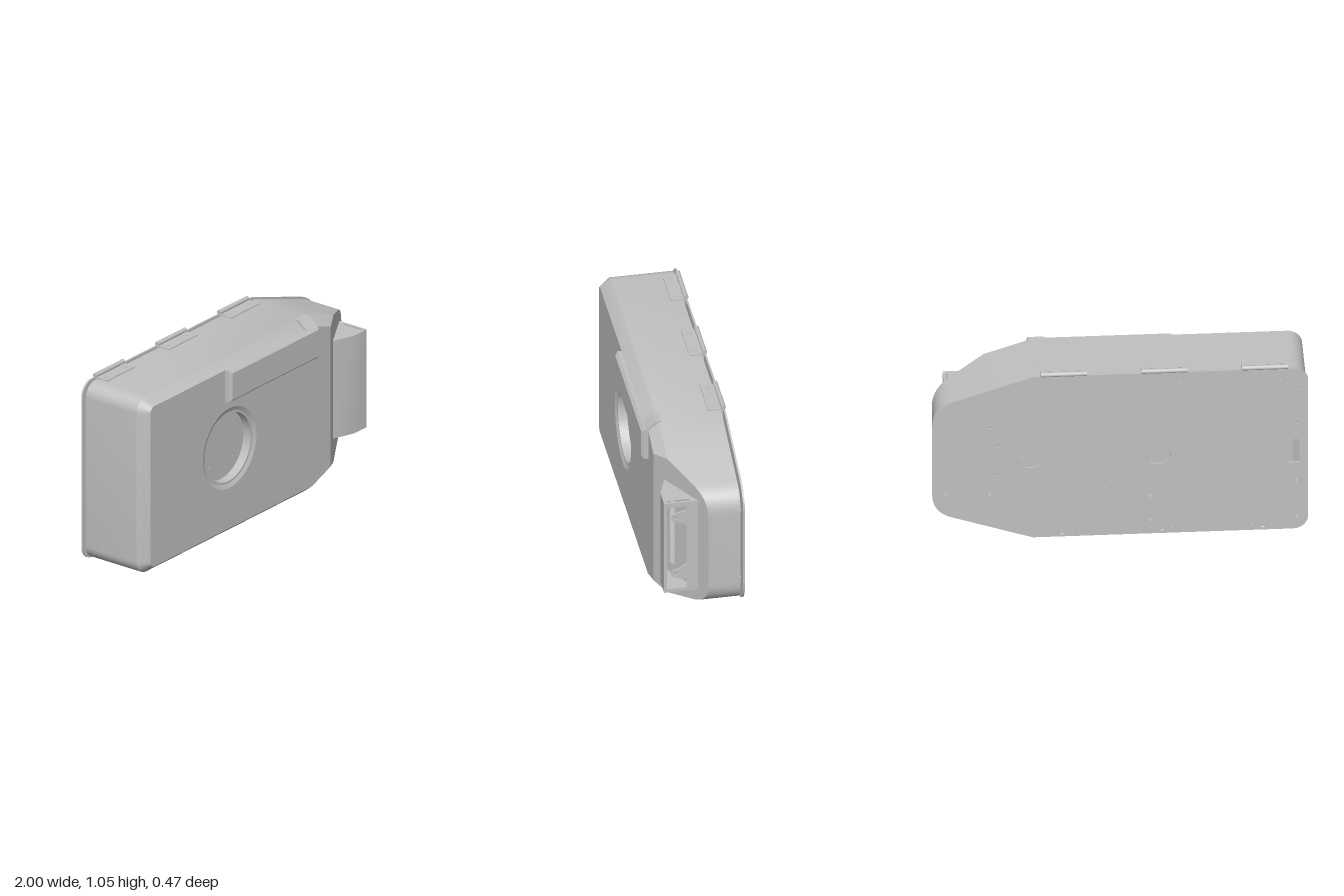
import * as THREE from 'three';
import { toCreasedNormals } from 'three/addons/utils/BufferGeometryUtils.js';

const CY = 0.52, BACK = -0.2, EDGE = 0.1437, FRONT = 0.2;
const slant = (x) => FRONT - 0.593 * (x - 0.61); // sloping nose plane
const V2 = (x, y) => new THREE.Vector2(x, y);
const mirrored = (half) => [...half, ...half.slice().reverse().map((p) => V2(p.x, -p.y))];
const lift = (pts) => pts.map((p) => V2(p.x, p.y + CY));
const rect = (x0, y0, x1, y1) => [V2(x0, y0), V2(x1, y0), V2(x1, y1), V2(x0, y1)];
const circle = (x, y, r) => new THREE.Path().absarc(x, y, r, 0, Math.PI * 2);

// Quad strip between two rows of 3D points
function strip(a, b, closed) {
  const pos = [];
  const n = closed ? a.length : a.length - 1;
  for (let i = 0; i < n; i++) {
    const j = (i + 1) % a.length;
    for (const p of [a[i], a[j], b[j], a[i], b[j], b[i]]) pos.push(...p);
  }
  const g = new THREE.BufferGeometry();
  g.setAttribute('position', new THREE.Float32BufferAttribute(pos, 3));
  return toCreasedNormals(g, 0.5);
}

export function createModel() {
  const model = new THREE.Group();
  model.name = 'hingedCase';
  const grey = new THREE.MeshStandardMaterial({ color: 0xc0c0c0, side: THREE.DoubleSide });
  grey.name = 'light grey';
  const add = (name, geo, x = 0, y = 0, z = 0, parent = model) => {
    const m = new THREE.Mesh(geo, grey);
    m.name = name;
    m.position.set(x, y, z);
    parent.add(m);
    return m;
  };
  const extrude = (shape, depth, curveSegments = 10) =>
    new THREE.ExtrudeGeometry(shape, { depth, bevelEnabled: false, curveSegments });
  const pin = (r, len) => new THREE.CylinderGeometry(r, r, len, 14);

  // Upper half outlines, left to right: wall edge and inner edge of the chamfer
  const outerHalf = [], innerHalf = [];
  for (let i = 0; i <= 8; i++) {
    const t = Math.PI - (i / 8) * Math.PI / 2, c = Math.cos(t), s = Math.sin(t);
    outerHalf.push(V2(-0.91 + 0.08 * c, 0.428 + 0.08 * s));
    innerHalf.push(V2(-0.91 + 0.035 * c, 0.428 + 0.035 * s));
  }
  outerHalf.push(V2(0.46, 0.508), V2(0.705, 0.425));
  innerHalf.push(V2(0.452, 0.463), V2(0.61, 0.404));
  const chamferCount = outerHalf.length;
  const nose = new THREE.QuadraticBezierCurve(V2(0.886, 0.364), V2(0.99, 0.328), V2(0.99, 0.218)).getPoints(12);
  outerHalf.push(...nose);
  const outline = lift(mirrored(outerHalf));

  // Body side wall and open back rim
  add('bodyWall', strip(
    outline.map((p) => [p.x, p.y, Math.min(EDGE, slant(p.x))]),
    outline.map((p) => [p.x, p.y, BACK]), true));
  const rim = new THREE.Shape(outline);
  rim.holes.push(new THREE.Path(outline.map((p) => V2(p.x * 0.98, CY + (p.y - CY) * 0.96))));
  add('backRim', new THREE.ShapeGeometry(rim), 0, 0, BACK);

  // Chamfer around the front, running from nose to nose past the left end
  const around = (half) => lift([...half.slice().reverse(), ...half.map((p) => V2(p.x, -p.y))]);
  add('frontChamfer', strip(
    around(innerHalf).map((p) => [p.x, p.y, FRONT]),
    around(outerHalf.slice(0, chamferCount)).map((p) => [p.x, p.y, EDGE]), false));

  // Flat front with a round opening
  const front = new THREE.Shape(lift(mirrored(innerHalf)));
  front.holes.push(circle(-0.26, CY, 0.23));
  add('frontFace', new THREE.ShapeGeometry(front, 48), 0, 0, FRONT);

  // Sloping nose face with a narrow slot
  const slope = new THREE.Shape(lift(mirrored([innerHalf[innerHalf.length - 1], outerHalf[chamferCount - 1], ...nose])));
  slope.holes.push(new THREE.Path(rect(0.725, 0.3, 0.755, 0.735)));
  const slopeGeo = new THREE.ShapeGeometry(slope);
  const sp = slopeGeo.attributes.position;
  for (let i = 0; i < sp.count; i++) sp.setZ(i, slant(sp.getX(i)));
  slopeGeo.computeVertexNormals();
  add('noseSlope', slopeGeo);

  // Shallow round recess with four screw heads
  const cup = new THREE.LatheGeometry(
    [V2(0, 0.14), V2(0.195, 0.14), V2(0.195, 0.19), V2(0.207, 0.19), V2(0.23, 0.2)], 48);
  cup.rotateX(Math.PI / 2);
  add('roundRecess', toCreasedNormals(cup, 0.4), -0.26, CY, 0);
  for (const dx of [-0.1, 0.1]) for (const dy of [-0.1, 0.1])
    add('recessScrew', pin(0.009, 0.006).rotateX(Math.PI / 2), -0.26 + dx, CY + dy, 0.14);

  // Raised cover on the upper front, with its block at the end
  add('frontCover', new THREE.ExtrudeGeometry(new THREE.Shape(rect(-0.285, 0.815, 0.455, 0.968)), {
    depth: 0.04, bevelEnabled: true, bevelSegments: 1, bevelSize: 0.015, bevelThickness: 0.015,
  }), 0, 0, 0.182);
  const block = extrude(new THREE.Shape(
    [V2(0.13, 1.028), V2(0.165, 1.03), V2(0.232, 0.968), V2(0.19, 0.95), V2(0.13, 0.95)]), 0.09);
  add('coverEndBlock', block.rotateY(-Math.PI / 2), 0.47, 0, 0);

  // Side port housing on the nose
  const port = new THREE.Group();
  port.name = 'sidePort';
  model.add(port);
  const Y0 = 0.238, Y1 = 0.804;
  const path = [[0.685, 0.155], [0.81, 0.2], [0.92, 0.2]];
  add('portWall', strip(path.map(([x, z]) => [x, Y0, z]), path.map(([x, z]) => [x, Y1, z]), false), 0, 0, 0, port);
  for (const y of [Y0, Y1]) {
    const side = new THREE.Shape([...path, [0.92, 0.016]].map(([x, z]) => V2(x, z)));
    if (y === Y1) side.holes.push(new THREE.Path(rect(0.893, 0.06, 0.907, 0.18)));
    add('portEnd', new THREE.ShapeGeometry(side).rotateX(Math.PI / 2), 0, y, 0, port);
  }
  const frame = new THREE.Shape(rect(0.01, Y0, FRONT, Y1));
  frame.holes.push(new THREE.Path(rect(0.078, 0.258, 0.184, 0.776)));
  add('portFrame', extrude(frame, 0.012).rotateY(-Math.PI / 2), 0.92, 0, 0, port);

  // Two pierced lugs inside the port
  for (const s of [-1, 1]) {
    const lug = new THREE.Shape([V2(0.07, s * 0.12), V2(0.125, s * 0.152), V2(0.15, s * 0.158), V2(0.159, s * 0.178),
      V2(0.15, s * 0.198), V2(0.13, s * 0.204), V2(0.07, s * 0.222)]);
    lug.holes.push(circle(0.136, s * 0.178, 0.012));
    add('portLug', extrude(lug, 0.01).rotateY(-Math.PI / 2), 0.905, CY, 0, port);
  }

  // Drilled back plate
  const plate = new THREE.Shape(outline.map((p) => V2(p.x * 1.01, CY + (p.y - CY) * 1.013)));
  const drill = [
    [0.93, 0.725], [0.93, 0.3], [0.863, 0.785], [0.863, 0.233], [0.794, 0.782], [0.794, 0.237],
    [0.695, 0.72], [0.695, 0.297], [0.651, 0.6], [0.651, 0.416], [0.29, 0.646], [0.29, 0.438],
    [0.053, 0.646], [0.053, 0.36], [-0.215, 0.7], [-0.327, 0.639], [-0.327, 0.589], [-0.327, 0.415],
    [-0.327, 0.364], [-0.564, 0.645], [-0.564, 0.365], [-0.159, 0.246], [-0.159, 0.09], [-0.938, 0.907],
    [-0.938, 0.69], [-0.882, 0.628], [-0.882, 0.37], [-0.938, 0.316], [-0.938, 0.08],
  ];
  const hinges = [-0.77, -0.235, 0.3];
  for (const x of hinges) {
    drill.push([x - 0.085, 0.97], [x + 0.085, 0.97]);
    plate.holes.push(circle(x + 0.01, 0.038, 0.02));
  }
  for (const [x, y] of drill) plate.holes.push(circle(x, y, 0.01));
  plate.holes.push(circle(0.477, CY, 0.07), circle(-0.2, CY, 0.07),
    new THREE.Path(rect(-0.955, 0.43, -0.885, 0.58)));
  add('backPlate', extrude(plate, 0.01, 16), 0, 0, -0.222);

  // Hinges along the top, catches along the bottom
  for (const x of hinges) {
    const hinge = new THREE.Group();
    hinge.name = 'hinge';
    hinge.position.x = x;
    model.add(hinge);
    add('hingeKnuckle', pin(0.013, 0.245).rotateZ(Math.PI / 2), 0, 1.043, -0.215, hinge);
    add('hingeTopLeaf', new THREE.BoxGeometry(0.245, 0.006, 0.075), 0, 1.033, -0.17, hinge);
    add('hingeInnerLeaf', new THREE.BoxGeometry(0.245, 0.075, 0.01), 0, 0.998, -0.206, hinge);
    for (const dx of [-0.085, 0.085])
      add('hingeScrew', pin(0.011, 0.005), dx, 1.036, -0.17, hinge);
    add('catchPad', new THREE.BoxGeometry(0.15, 0.05, 0.01), 0.01, 0.045, -0.206, hinge);
    for (const dx of [-0.045, 0.065])
      add('catchPin', pin(0.008, 0.02).rotateX(Math.PI / 2), dx, 0.04, -0.226, hinge);
  }

  // Spacer pads behind the nose
  for (const y of [0.265, 0.78])
    add('spacerPad', new THREE.BoxGeometry(0.11, 0.08, 0.012), 0.825, y, -0.206);

  return model;
}
